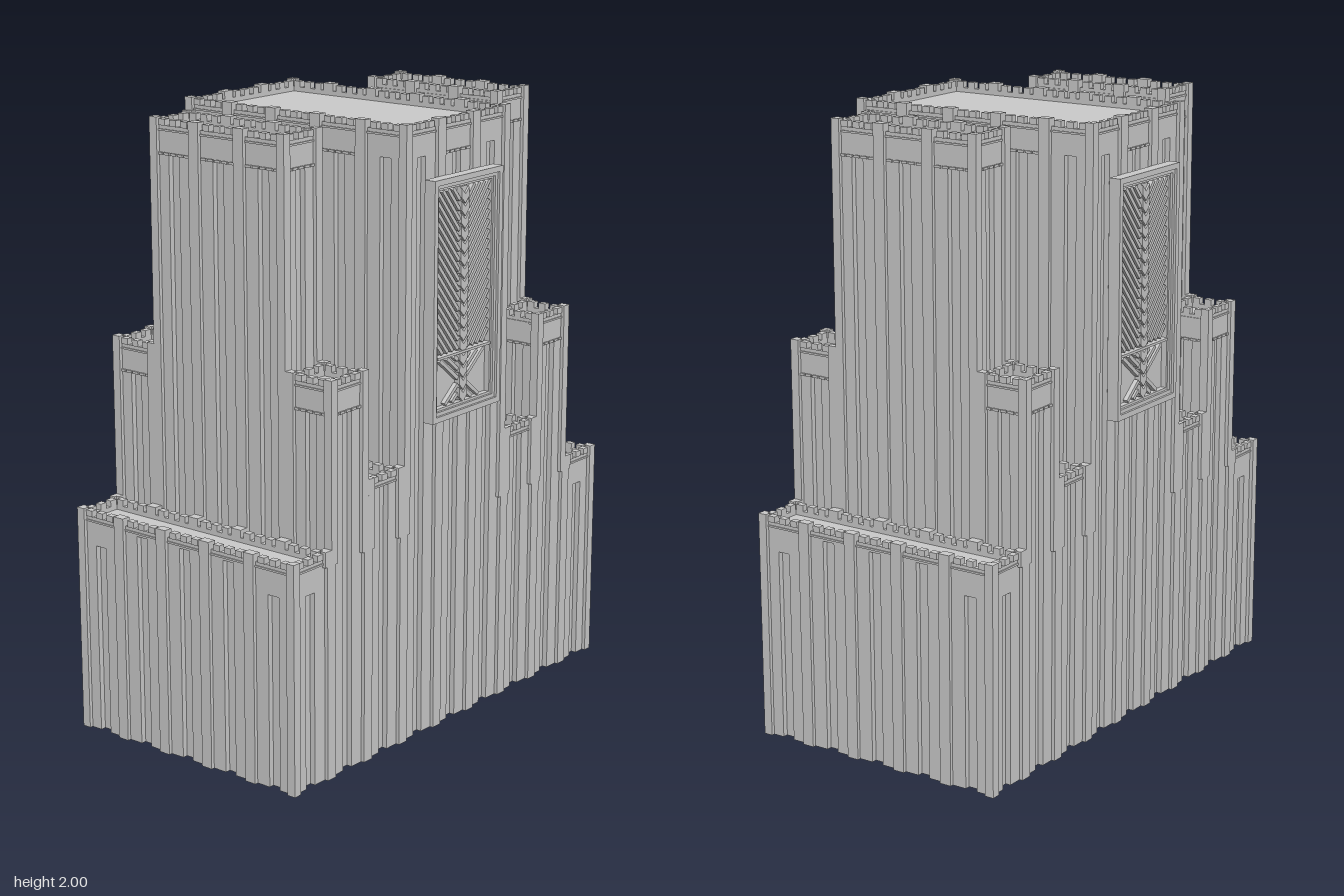
import * as THREE from 'three';
import { mergeGeometries } from 'three/addons/utils/BufferGeometryUtils.js';

const M = 0.18;        // plan module: every wall is a row of these bays
const RIB = 0.04;      // rib width, centred on module boundaries
const BAY = 0.012;     // bay panels sit this far behind the ribs
const CORE = 0.03;     // slots reach back to the core
const LIP = 0.025;     // merlon height

const grey = new THREE.MeshStandardMaterial({ color: 0xcccccc, flatShading: true, side: THREE.DoubleSide });

// Box given by its minimum and maximum on each axis
function block(x0, x1, y0, y1, z0, z1) {
  return new THREE.BoxGeometry(x1 - x0, y1 - y0, z1 - z0)
    .translate((x0 + x1) / 2, (y0 + y1) / 2, (z0 + z1) / 2);
}

function addMesh(parent, name, parts) {
  const mesh = new THREE.Mesh(mergeGeometries(parts), grey);
  mesh.name = name;
  parent.add(mesh);
  return mesh;
}

// One bay facing +z with its outer plane on z = 0: two panels, a slot and a lintel
function bay(x, y0, y1, slotTop, crown, dentils) {
  const parts = [];
  const top = crown ? y1 - LIP : y1;
  const half = M / 2 - RIB / 2, slot = 0.021;
  for (const s of [-1, 1]) {
    const a = x + s * slot, b = x + s * half;
    parts.push(block(Math.min(a, b), Math.max(a, b), y0, top, -CORE, -BAY));
  }
  if (slotTop < top) parts.push(block(x - slot, x + slot, Math.max(slotTop, y0), top, -CORE, -BAY));
  if (crown) {
    for (const o of [-0.045, 0, 0.045])
      parts.push(block(x + o - 0.013, x + o + 0.013, top, y1 - 0.005, -CORE, -BAY + 0.004));
    parts.push(block(x - half, x + half, y1 - 0.042, y1 - 0.036, -BAY, -BAY + 0.004));
  }
  if (dentils) {
    for (let i = -2; i <= 2; i++)
      parts.push(block(x + i * 0.028 - 0.011, x + i * 0.028 + 0.011, y1 - 0.116, y1 - 0.108, -BAY, -BAY + 0.005));
  }
  return parts;
}

// A row of n bays with ribs between them
function wall(n, y0, y1, slotTopOf, crown, dentilsAt) {
  const parts = [];
  for (let i = 0; i < n; i++)
    parts.push(...bay((i - (n - 1) / 2) * M, y0, y1, slotTopOf(i), crown, dentilsAt(i)));
  for (let i = 0; i <= n; i++) {
    const x = (i - n / 2) * M;
    const l = i === 0 ? 0 : RIB / 2, r = i === n ? 0 : RIB / 2;
    parts.push(block(x - l, x + r, y0, y1, -CORE, 0));
  }
  return parts;
}

// Four walls around a plan of nx by nz modules
function walls(nx, nz, makeWall) {
  const parts = [];
  for (let k = 0; k < 4; k++) {
    const n = k % 2 ? nz : nx, depth = (k % 2 ? nx : nz) * M / 2;
    for (const g of makeWall(n, k)) parts.push(g.translate(0, 0, depth).rotateY(k * Math.PI / 2));
  }
  return parts;
}

// Crowned tower with a sunken flat roof
function tower(parent, name, nx, nz, cx, cz, y0, y1) {
  const tall = y1 - y0 > 0.3;
  const w = nx * M / 2 - CORE, d = nz * M / 2 - CORE;
  const parts = walls(nx, nz, n => wall(n, y0, y1,
    () => (tall ? y1 - 0.11 : y1 - 0.04), true,
    i => tall && (n < 2 || (i > 0 && i < n - 1) || (nx === 1 && n === 3))));
  parts.push(block(-w, w, y0, y1 - 0.04, -d, d));
  addMesh(parent, name, parts).position.set(cx, 0, cz);
}

// Hollow base, open below, with four light wells through its roof
function base(parent) {
  const top = 0.72, X = 4.5 * M, Z = 2.5 * M;
  const parts = walls(9, 5, (n, k) => wall(n, 0, top,
    i => ((i === 0 || i === n - 1) ? 0.63 : k % 2 ? 0.7 : top), false, () => false));
  for (const s of [-1, 1]) {
    parts.push(new THREE.PlaneGeometry(2 * X - 2 * CORE, top).translate(0, top / 2, Z - CORE).rotateY(s > 0 ? 0 : Math.PI));
    parts.push(new THREE.PlaneGeometry(2 * Z - 2 * CORE, top).translate(0, top / 2, X - CORE).rotateY(s * Math.PI / 2));
  }
  addMesh(parent, 'baseWalls', parts);

  const rect = (P, x0, x1, y0, y1) =>
    new P([[x0, y0], [x1, y0], [x1, y1], [x0, y1]].map(p => new THREE.Vector2(...p)));
  const plan = rect(THREE.Shape, -X + CORE, X - CORE, -Z + CORE, Z - CORE);
  for (const sx of [-1, 1]) for (const sz of [-1, 1]) {
    const cx = sx * 2 * M, cz = sz * M;
    plan.holes.push(rect(THREE.Path, cx - M / 2, cx + M / 2, cz - M / 2, cz + M / 2));
  }
  addMesh(parent, 'baseRoof', [new THREE.ShapeGeometry(plan).rotateX(-Math.PI / 2).translate(0, 0.7, 0)]);
}

// Slanted slat from the centre rib outward, shortened where it meets y limits
function slat(side, y, slope, lo, hi, z) {
  let xa = 0.022, xb = 0.135;
  const at = x => y + (x - 0.022) * slope;
  const xAt = v => 0.022 + (v - y) / slope;
  if (slope > 0) {
    if (at(xa) < lo) xa = xAt(lo);
    if (at(xb) > hi) xb = xAt(hi);
  } else {
    if (at(xa) > hi) xa = xAt(hi);
    if (at(xb) < lo) xb = xAt(lo);
  }
  if (xb - xa < 0.012) return [];
  const len = Math.hypot(xb - xa, at(xb) - at(xa));
  return [new THREE.BoxGeometry(len, 0.012, 0.016)
    .rotateZ(side * Math.atan(slope))
    .translate(side * (xa + xb) / 2, (at(xa) + at(xb)) / 2, z)];
}

// Framed window with herringbone slats, facing +z
function grille(parent, name, turn) {
  const g = new THREE.Group();
  g.name = name;
  g.rotation.y = turn;
  const y0 = 1.05, y1 = 1.82, yMid = 1.25, z0 = 0.45;

  const frame = [];
  for (const [w, t, z] of [[0.178, 0.018, 0.49], [0.16, 0.012, 0.482], [0.148, 0.008, 0.474]]) {
    const inset = 0.178 - w, a = y0 + inset, b = y1 - inset;
    frame.push(block(-w, w, b - t, b, z0, z), block(-w, w, a, a + t, z0, z));
    frame.push(block(-w, -w + t, a, b, z0, z), block(w - t, w, a, b, z0, z));
  }
  frame.push(block(-0.14, 0.14, yMid - 0.004, yMid + 0.004, z0, 0.478));
  addMesh(g, 'windowFrame', frame);
  addMesh(g, 'windowBacking', [block(-0.15, 0.15, y0 + 0.02, y1 - 0.02, z0, 0.455)]);

  const slats = [];
  const lo = y0 + 0.042, hi = y1 - 0.042;
  for (const s of [-1, 1]) {
    for (let y = yMid - 0.12; y < hi; y += 0.032) slats.push(...slat(s, y, 1.2, yMid + 0.01, hi, 0.462));
    for (let y = 1.165; y < yMid; y += 0.03) slats.push(...slat(s, y, 0.8, lo, yMid - 0.01, 0.462));
    for (let y = 1.145; y > lo; y -= 0.03) slats.push(...slat(s, y, -0.8, lo, yMid - 0.01, 0.462));
  }
  addMesh(g, 'slats', slats);

  // Centre rib built of stacked pointed links
  const link = new THREE.Shape([[-0.02, 0.012], [0, -0.008], [0.02, 0.012], [0.02, 0.042], [0, 0.022], [-0.02, 0.042]]
    .map(p => new THREE.Vector2(...p)));
  const rib = [];
  for (let y = lo; y < hi - 0.04; y += 0.04)
    rib.push(new THREE.ExtrudeGeometry(link, { depth: 0.02, bevelEnabled: false }).translate(0, y, 0.455));
  addMesh(g, 'centreRib', rib);
  addMesh(g, 'ribSpine', [block(-0.018, 0.018, lo, hi, 0.455, 0.468)]);
  parent.add(g);
}

export function createModel() {
  const model = new THREE.Group();
  model.name = 'fortress';
  base(model);
  tower(model, 'centralKeep', 3, 5, 0, 0, 0.7, 2);

  for (const [side, s] of [['left', 1], ['right', -1]]) {
    tower(model, side + 'Terrace', 1, 5, s * 4 * M, 0, 0.7, 0.75);
    tower(model, side + 'WingTower', 1, 3, s * 3 * M, 0, 0.7, 2);
    addMesh(model, side + 'MiddleBridge',
      [block(s * 2 * M - M / 2, s * 2 * M + M / 2, 0.7, 1.08, -M / 2, M / 2)]);
    for (const [end, e] of [['Front', 1], ['Back', -1]]) {
      tower(model, side + end + 'Turret', 1, 1, s * 3 * M, e * 2 * M, 0.7, 1.28);
      tower(model, side + end + 'Bridge', 1, 1, s * 2 * M, e * 2 * M, 0.7, 0.93);
    }
  }

  grille(model, 'frontWindow', 0);
  grille(model, 'backWindow', Math.PI);
  return model;
}
